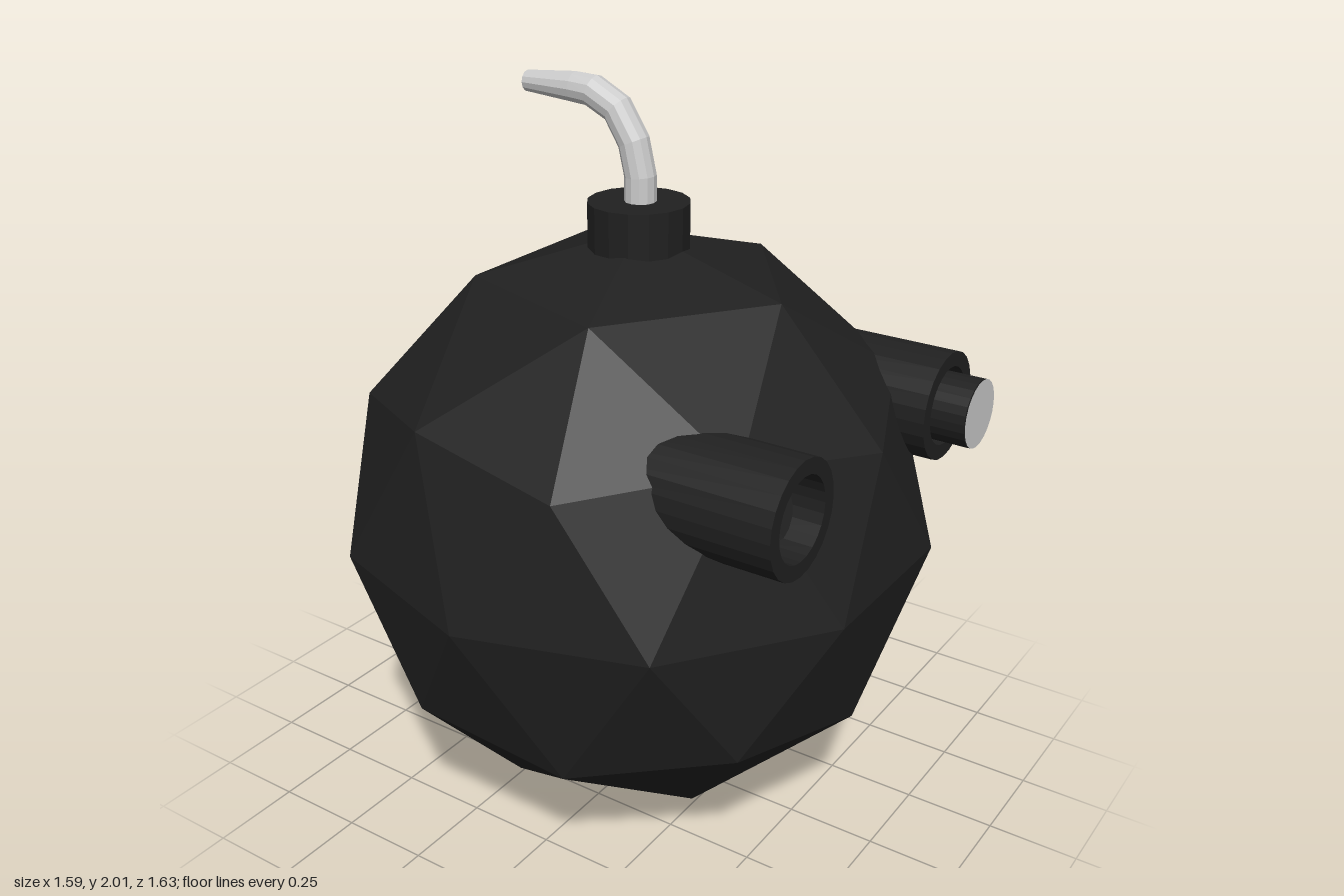
import * as THREE from 'three';

const black = new THREE.MeshStandardMaterial({ color: 0x202020, flatShading: true });
const grey = new THREE.MeshStandardMaterial({ color: 0xcccccc, flatShading: true });

const CX = -0.025; // body axis
const R = 0.815; // body radius

function add(parent, name, geometry, material, x = 0, y = 0, z = 0) {
  const mesh = new THREE.Mesh(geometry, material);
  mesh.name = name;
  mesh.position.set(x, y, z);
  parent.add(mesh);
  return mesh;
}

// Closed cylinder whose rings are moved onto a bent, tapering path of [x, y, radius]
function bentRod(path, sides) {
  const n = path.length - 1;
  const geometry = new THREE.CylinderGeometry(1, 1, 1, sides, n);
  const pos = geometry.attributes.position;
  for (let i = 0; i < pos.count; i++) {
    const k = Math.round((pos.getY(i) + 0.5) * n);
    const [x, y, r] = path[k];
    const a = path[Math.max(k - 1, 0)];
    const b = path[Math.min(k + 1, n)];
    const len = Math.hypot(b[0] - a[0], b[1] - a[1]);
    const tx = (b[0] - a[0]) / len;
    const ty = (b[1] - a[1]) / len;
    const u = pos.getX(i) * r;
    pos.setXYZ(i, x + u * ty, y - u * tx, pos.getZ(i) * r);
  }
  geometry.computeVertexNormals();
  return geometry;
}

// Socket open towards +x, with a recessed floor
function socketGeometry() {
  const profile = [[0.15, 0.2], [0.15, 0.7], [0.109, 0.7], [0.109, 0.6], [0, 0.6]];
  return new THREE.LatheGeometry(profile.map(([r, h]) => new THREE.Vector2(r, h)), 24)
    .rotateZ(-Math.PI / 2);
}

export function createModel() {
  const group = new THREE.Group();
  group.name = 'roundBomb';

  // Faceted ball, one icosahedron corner straight up
  const ball = new THREE.IcosahedronGeometry(R, 1);
  ball.rotateZ(-Math.atan(2 / (1 + Math.sqrt(5))));
  add(group, 'body', ball, black, CX, R, 0);

  // Collar and fuse
  add(group, 'collar', new THREE.CylinderGeometry(0.135, 0.135, 0.18, 16), black, CX, 1.615, 0);
  const fusePath = [
    [-0.02, 1.62, 0.042], [-0.02, 1.77, 0.042], [-0.04, 1.855, 0.042],
    [-0.09, 1.933, 0.042], [-0.165, 1.97, 0.042], [-0.22, 1.973, 0.04], [-0.375, 1.972, 0.028],
  ];
  add(group, 'fuse', bentRod(fusePath, 12), grey);

  // Two sockets on the left side
  for (const side of [1, -1]) {
    add(group, side > 0 ? 'frontSocket' : 'rearSocket', socketGeometry(), black, 0, 1.163, side * 0.4);
  }

  // Plug in the rear socket with a pale end disc
  const plug = new THREE.CylinderGeometry(0.095, 0.095, 0.24, 24).rotateZ(-Math.PI / 2);
  add(group, 'plug', plug, black, 0.67, 1.163, -0.397);
  const disc = new THREE.CircleGeometry(0.095, 24).rotateY(Math.PI / 2);
  add(group, 'plugDisc', disc, grey, 0.793, 1.163, -0.397);

  return group;
}
